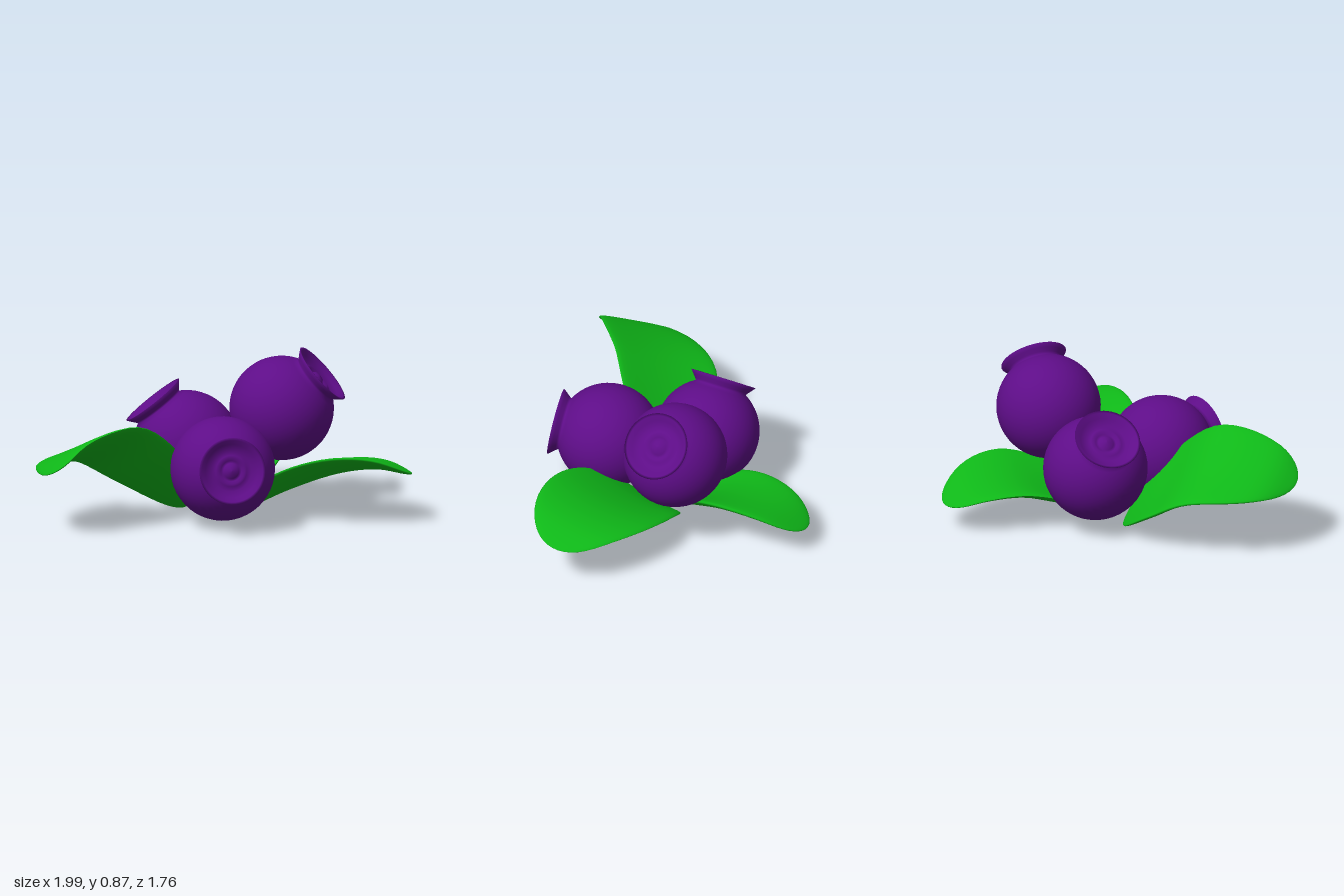
import * as THREE from 'three';

const V = (a) => new THREE.Vector3(...a);
const purple = new THREE.MeshStandardMaterial({ color: 0x5e0d88 });
const green = new THREE.MeshStandardMaterial({ color: 0x0fb818 });

// Round berry with a flared crown at its +y end: [radius, height] profile
function berryGeometry() {
  const R = 0.283;
  const profile = [];
  for (let i = 0; i <= 24; i++) {
    const a = THREE.MathUtils.degToRad(-90 + (150 * i) / 24);
    profile.push([Math.max(0, R * Math.cos(a)), R * Math.sin(a)]);
  }
  profile.push(
    [0.15, 0.257], [0.165, 0.275], [0.182, 0.296], // outside of the flare
    [0.168, 0.295], [0.145, 0.274], [0.11, 0.257], // inside of the cup
    [0.085, 0.26], [0.07, 0.268], [0.056, 0.255],  // ring
    [0.042, 0.256], [0.03, 0.272], [0, 0.277],     // central nub
  );
  return new THREE.LatheGeometry(profile.map(([r, y]) => new THREE.Vector2(r, y)), 48);
}

// Leaf: a flattened sphere whose long axis follows a curve;
// side is the half-width vector, cup lifts both edges, more so near the base
function leafGeometry(points, side, cup, thickness = 0.034) {
  const geo = new THREE.SphereGeometry(1, 32, 28);
  const curve = new THREE.CatmullRomCurve3(points.map(V));
  const across = V(side);
  const pos = geo.attributes.position;
  for (let i = 0; i < pos.count; i++) {
    const x = pos.getX(i), z = pos.getZ(i);
    const t = THREE.MathUtils.clamp((pos.getY(i) + 1) / 2, 0, 1);
    const up = across.clone().cross(curve.getTangentAt(t)).normalize();
    const p = curve.getPointAt(t)
      .addScaledVector(across, x)
      .addScaledVector(up, z * thickness);
    p.y += (cup + 0.1 * (1 - t) ** 2) * x * x;
    pos.setXYZ(i, p.x, Math.max(0, p.y), p.z);
  }
  geo.computeVertexNormals();
  return geo;
}

export function createModel() {
  const model = new THREE.Group();
  model.name = 'berriesWithLeaves';

  // Berries: centre and the direction the crown faces
  const berry = berryGeometry();
  const berries = [
    ['frontBerry', [0.002, 0.32, 0.363], [0.32, 0.16, 0.93]],
    ['leftBerry', [0.24, 0.54, -0.2], [0.745, 0.66, -0.04]],
    ['rightBerry', [-0.265, 0.355, -0.1], [-0.62, 0.78, 0.03]],
  ];
  for (const [name, centre, facing] of berries) {
    const mesh = new THREE.Mesh(berry, purple);
    mesh.name = name;
    mesh.position.set(...centre);
    mesh.quaternion.setFromUnitVectors(new THREE.Vector3(0, 1, 0), V(facing).normalize());
    model.add(mesh);
  }

  // Leaves: midline from base to tip, half-width vector, cup
  const leaves = [
    ['leftLeaf', [[0.03, 0.01, 0.01], [0.3, 0.17, 0.05], [0.6, 0.285, 0.075], [0.82, 0.31, 0.1], [1, 0.27, 0.12]],
      [0, 0.065, 0.305], 0.03],
    ['rightLeaf', [[-0.24, 0.04, 0.08], [-0.45, 0.24, 0.24], [-0.64, 0.4, 0.4], [-0.825, 0.42, 0.68], [-0.86, 0.37, 0.85]],
      [-0.225, -0.13, -0.18], 0.03],
    ['backLeaf', [[0, 0.05, 0], [0, 0.145, -0.25], [0.015, 0.225, -0.5], [0.01, 0.22, -0.7], [0, 0.15, -0.88]],
      [0.25, 0.045, 0], 0.03],
  ];
  for (const [name, midline, side, cup] of leaves) {
    const mesh = new THREE.Mesh(leafGeometry(midline, side, cup), green);
    mesh.name = name;
    model.add(mesh);
  }
  return model;
}
